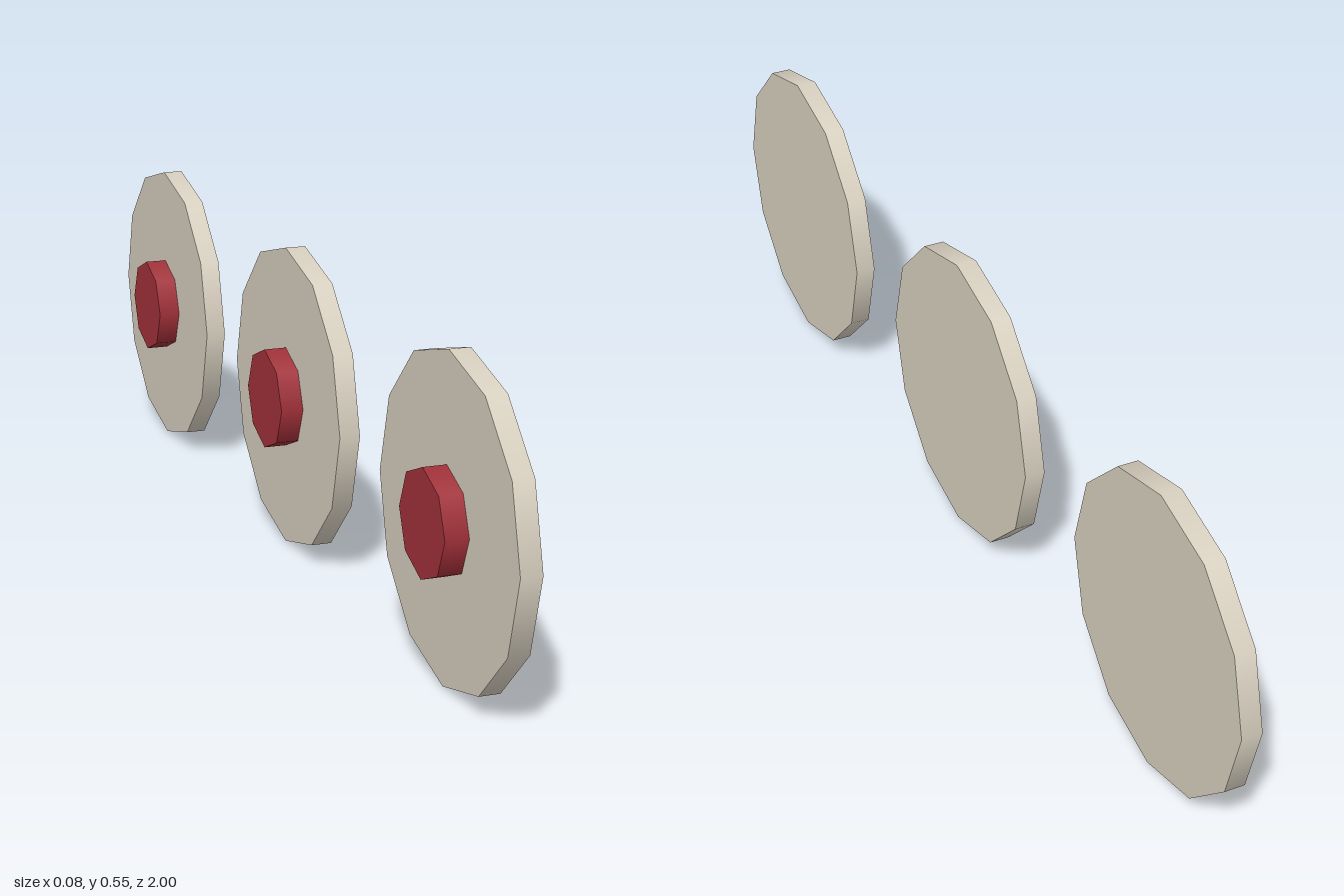
import * as THREE from 'three';

// Smooth-sided cylinder lying along x, from x0 to x1
function disc(name, radius, x0, x1, sides, material) {
  const geometry = new THREE.CylinderGeometry(radius, radius, x1 - x0, sides);
  geometry.rotateZ(-Math.PI / 2);
  geometry.translate((x0 + x1) / 2, 0, 0);
  const mesh = new THREE.Mesh(geometry, material);
  mesh.name = name;
  return mesh;
}

export function createModel() {
  const cream = new THREE.MeshStandardMaterial({ color: 0xd8d0c0 });
  cream.name = 'cream';
  const red = new THREE.MeshStandardMaterial({ color: 0xa23039 });
  red.name = 'red';

  const radius = 0.2727;
  const spacing = 0.7273;
  const model = new THREE.Group();
  model.name = 'discRow';

  // Three identical upright discs in a row, each with a hub on its -x side
  ['rear', 'middle', 'front'].forEach((place, i) => {
    const unit = new THREE.Group();
    unit.name = place + 'Disc';
    unit.add(disc('plate', radius, 0.0018, 0.0382, 12, cream));
    unit.add(disc('hub', radius / 3, -0.0382, 0.0018, 8, red));
    unit.position.set(0, radius, (i - 1) * spacing);
    model.add(unit);
  });
  return model;
}
